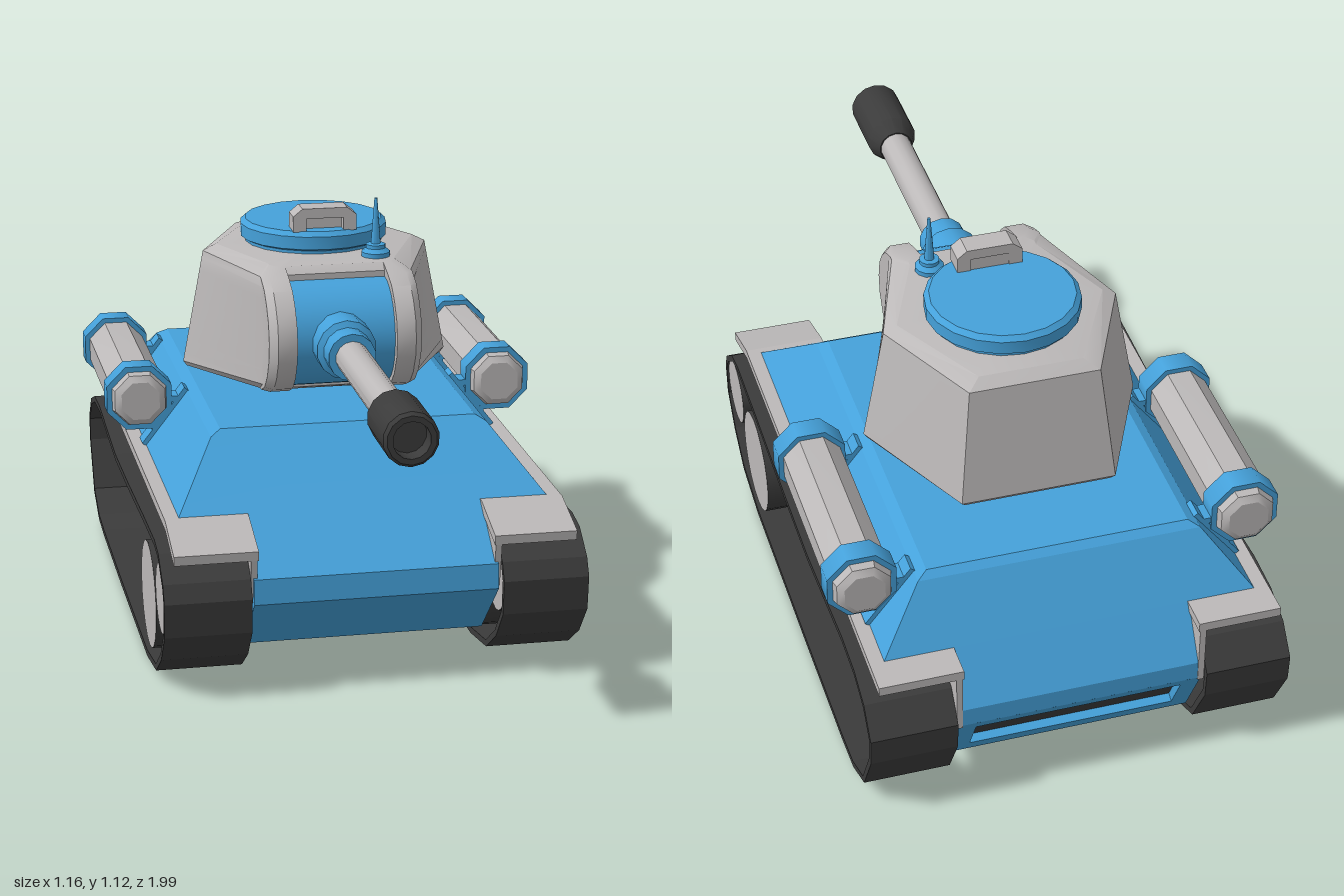
import * as THREE from 'three';
import { toCreasedNormals } from 'three/addons/utils/BufferGeometryUtils.js';

const mat = (name, color) => Object.assign(new THREE.MeshStandardMaterial({ color }), { name });

export function createModel() {
  const model = new THREE.Group();
  model.name = 'tank';
  const blue = mat('blue paint', 0x45a1da);
  const grey = mat('light grey', 0xbcb9b9);
  const dark = mat('dark rubber', 0x3b3b3b);

  const add = (name, geo, material, x = 0, y = 0, z = 0) => {
    const m = new THREE.Mesh(geo, material);
    m.name = name;
    m.position.set(x, y, z);
    model.add(m);
    return m;
  };
  const vec = pts => pts.map(([a, b]) => new THREE.Vector2(a, b));
  // (z, y) outline extruded across x0..x1
  const sideExtrude = (pts, x0, x1, hole) => {
    const shape = new THREE.Shape(vec(pts));
    if (hole) shape.holes.push(new THREE.Path(vec(hole)));
    return new THREE.ExtrudeGeometry(shape, { depth: x1 - x0, bevelEnabled: false })
      .rotateY(-Math.PI / 2).translate(x1, 0, 0);
  };
  // Horizontal loops stacked upward, capped by fans
  const loft = (loops, centreZ, crease) => {
    const n = loops[0].length, pos = loops.flat(2), idx = [];
    for (let k = 0; k < loops.length - 1; k++)
      for (let i = 0; i < n; i++) {
        const a = k * n + i, b = k * n + (i + 1) % n;
        idx.push(a, b, b + n, a, b + n, a + n);
      }
    const low = pos.length / 3, top = (loops.length - 1) * n;
    pos.push(0, loops[0][0][1], centreZ, 0, loops.at(-1)[0][1], centreZ);
    for (let i = 0; i < n; i++) {
      const j = (i + 1) % n;
      idx.push(low, j, i, low + 1, top + i, top + j);
    }
    const g = new THREE.BufferGeometry();
    g.setAttribute('position', new THREE.Float32BufferAttribute(pos, 3));
    g.setIndex(idx);
    return toCreasedNormals(g, crease);
  };
  const lathe = (pts, sides) =>
    toCreasedNormals(new THREE.LatheGeometry(vec(pts), sides), 0.6);
  const mirrorLoop = half => [...half, ...half.map(([x, y, z]) => [-x, y, z]).reverse()];

  // Lower hull, with its rear face set back for the grille
  add('lowerHull', sideExtrude([[0.4, 0.077], [0.575, 0.245], [0.57, 0.31], [0.411, 0.43],
    [-0.883, 0.43], [-0.97, 0.3], [-0.97, 0.25], [-0.943, 0.264], [-0.853, 0.094],
    [-0.853, 0.077]], -0.312, 0.312), blue);

  // Upper hull with sloped sides and a bevelled roof edge
  const hullLoop = (y, x, front, back) => mirrorLoop([[x, y, front], [x, y, back]]);
  add('upperHull', loft([
    hullLoop(0.43, 0.475, 0.411, -0.883),
    hullLoop(0.575, 0.362, 0.219, -0.785),
    hullLoop(0.59, 0.335, 0.2, -0.765)], -0.25, 0.05), blue);

  // Recessed rear grille
  const rect = (w, h, y = 0) => vec([[-w, y - h], [w, y - h], [w, y + h], [-w, y + h]]);
  const frame = new THREE.Shape(rect(0.312, 0.096));
  frame.holes.push(new THREE.Path(rect(0.265, 0.06, 0.005)));
  const rear = add('rearGrilleFrame', new THREE.ExtrudeGeometry(frame,
    { depth: 0.03, bevelEnabled: false }).translate(0, 0, -0.03), blue, 0, 0.165, -0.925);
  rear.rotation.set(-0.487, Math.PI, 0);
  const grille = add('rearGrille', new THREE.BoxGeometry(0.53, 0.12, 0.006)
    .translate(0, 0.005, -0.025), dark, 0, 0.165, -0.925);
  grille.rotation.set(-0.487, Math.PI, 0);

  // Track outline and its inward offset
  const track = [[0.25, 0], [0.42, 0.028], [0.52, 0.095], [0.59, 0.18], [0.598, 0.27],
    [0.575, 0.315], [0.5, 0.37], [0.43, 0.383], [0.25, 0.378], [-0.1, 0.362], [-0.36, 0.355],
    [-0.55, 0.37], [-0.72, 0.385], [-0.84, 0.378], [-0.93, 0.345], [-0.99, 0.275],
    [-0.985, 0.2], [-0.91, 0.065], [-0.8, 0.015], [-0.68, 0.006], [-0.3, 0]];
  const inner = track.map(([z, y], i) => {
    const p = track.at(i - 1), q = track[(i + 1) % track.length];
    const dz = q[0] - p[0], dy = q[1] - p[1], l = Math.hypot(dz, dy);
    return [z - dy / l * 0.017, y + dz / l * 0.017];
  });

  for (const s of [1, -1]) {
    const side = s > 0 ? 'left' : 'right';
    const strip = (pts, a, b, hole) =>
      sideExtrude(pts, Math.min(s * a, s * b), Math.max(s * a, s * b), hole);
    add(side + 'Track', strip(track, 0.32, 0.54, inner), dark);

    // Fender: top plate with drooping nose, plus inner skirt
    add(side + 'Fender', strip([[0.575, 0.362], [0.578, 0.387], [0.43, 0.43], [-0.972, 0.43],
      [-0.972, 0.405], [0.43, 0.405]], 0.3, 0.512), grey);
    add(side + 'FenderSkirt', strip([[0.555, 0.245], [0.577, 0.38], [0.43, 0.428],
      [-0.972, 0.428], [-0.972, 0.245]], 0.303, 0.319), grey);

    // Road wheels: dark drums with grey caps
    for (const [z, y, r] of [[0.492, 0.25, 0.09], [0.262, 0.177, 0.14]])
      add(side + 'Wheel', new THREE.CylinderGeometry(r, r, 0.21, 20).rotateZ(Math.PI / 2),
        [dark, grey, grey], s * 0.43, y, z);

    // Side drum, straps and brackets
    const drum = lathe([[0, -0.31], [0.055, -0.31], [0.073, -0.298], [0.08, -0.275],
      [0.08, 0.275], [0.073, 0.298], [0.055, 0.31], [0, 0.31]], 8);
    add(side + 'Drum', drum.rotateY(Math.PI / 8).rotateX(Math.PI / 2), grey,
      s * 0.492, 0.564, -0.47);
    for (const z of [-0.222, -0.718]) {
      add(side + 'DrumStrap', new THREE.CylinderGeometry(0.094, 0.094, 0.062, 8).toNonIndexed()
        .rotateY(Math.PI / 8).rotateX(Math.PI / 2), blue, s * 0.492, 0.564, z);
      add(side + 'DrumBracket', new THREE.BoxGeometry(0.19, 0.014, 0.055), blue,
        s * 0.422, 0.506, z).rotation.z = -0.91 * s;
      add(side + 'UpperArm', new THREE.BoxGeometry(0.035, 0.016, 0.055), blue,
        s * 0.395, 0.555, z);
      add(side + 'LowerArm', new THREE.BoxGeometry(0.016, 0.035, 0.055), blue,
        s * 0.45, 0.468, z);
    }
  }

  // Turret: hexagonal plan, rounded cheeks either side of the gun slot
  const levels = [[0.625, 0.0, 0.012], [0.638, 0.06, 0], [0.66, 0.115, 0], [0.7, 0.158, 0],
    [0.75, 0.186, 0], [0.8, 0.193, 0], [0.85, 0.182, 0], [0.89, 0.155, 0], [0.922, 0.12, 0],
    [0.942, 0.07, 0], [0.96, 0.01, 0.032]];
  add('turret', loft(levels.map(([y, front, inset]) => {
    const t = (y - 0.625) / 0.335, mix = (a, b) => a + (b - a) * t - inset;
    const slot = Math.min(front, 0.03);
    return mirrorLoop([
      [0.13, y, slot], [0.13, y, front], [0.18 - inset, y, front],
      [0.2 - inset, y, front - 0.025], [0.2 - inset, y, Math.min(0.06, front - 0.04)],
      [mix(0.363, 0.3), y, -0.27], [mix(0.2, 0.165), y, -mix(0.61, 0.56)]]);
  }), -0.25, 0.45), grey);

  // Gun mantlet and gun
  add('mantlet', new THREE.CylinderGeometry(0.138, 0.138, 0.262, 28).rotateZ(Math.PI / 2),
    blue, 0, 0.788, 0.03);
  const gunPart = (name, pts, material) =>
    add(name, lathe(pts, 14).rotateX(Math.PI / 2), material, -0.01, 0.79, 0);
  gunPart('gunCollar', [[0.078, 0.12], [0.078, 0.23], [0.062, 0.238], [0.062, 0.302],
    [0, 0.302]], blue);
  gunPart('gunBarrel', [[0.043, 0.29], [0.043, 0.78]], grey);
  gunPart('muzzle', [[0, 0.765], [0.046, 0.765], [0.068, 0.81], [0.068, 0.99], [0.06, 1],
    [0.046, 1], [0.046, 0.95], [0, 0.95]], dark);

  // Roof hatch with periscope
  add('hatch', lathe([[0.185, 0.95], [0.185, 0.968], [0.197, 0.974], [0.197, 1.008],
    [0.184, 1.02], [0, 1.02]], 20), blue, 0, 0, -0.287);
  const outline = [[-0.085, 1.018], [-0.05, 1.018], [-0.05, 1.053], [0.05, 1.053],
    [0.05, 1.018], [0.085, 1.018], [0.085, 1.06], [0.06, 1.08], [-0.06, 1.08], [-0.085, 1.06]];
  add('periscopeHood', new THREE.ExtrudeGeometry(new THREE.Shape(vec(outline)),
    { depth: 0.062, bevelEnabled: false }), grey, 0, 0, -0.178);
  add('periscopeBlock', new THREE.BoxGeometry(0.1, 0.036, 0.03), grey, 0, 1.036, -0.16);

  // Antenna
  add('antenna', lathe([[0.038, 0.95], [0.038, 0.972], [0.026, 0.982], [0.026, 0.992],
    [0.013, 0.994], [0.004, 1.115], [0, 1.115]], 12), blue, 0.125, 0, -0.06);

  return model;
}
